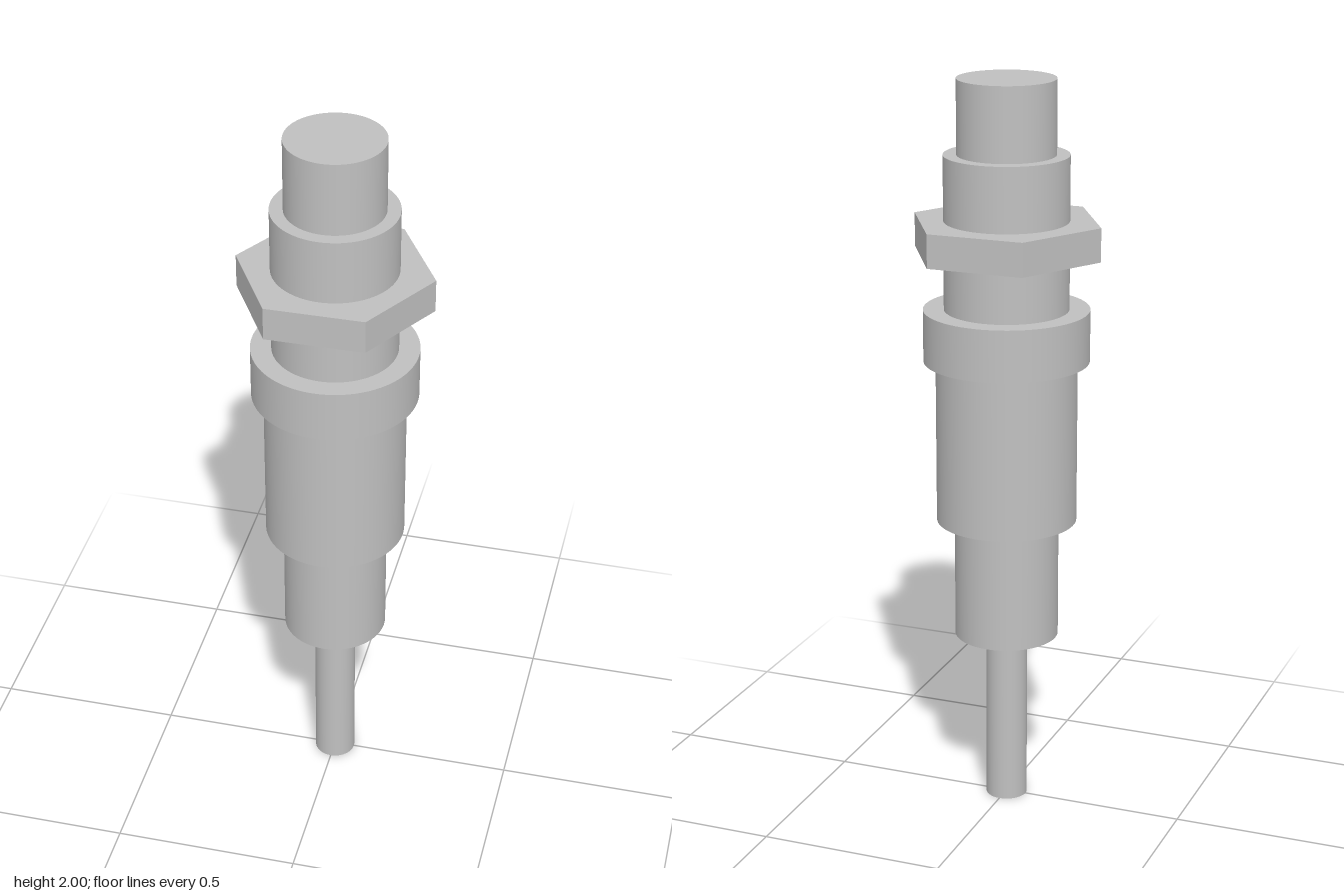
import * as THREE from 'three';

export function createModel() {
  const group = new THREE.Group();
  const metal = new THREE.MeshStandardMaterial({ color: 0xc0c0c0 });
  metal.name = 'grey metal';
  const nutMetal = metal.clone();
  nutMetal.flatShading = true;
  nutMetal.name = 'grey metal, faceted';

  // Upright cylinder between two heights
  function addSection(name, radius, bottom, top, sides = 96, start = 0, material = metal) {
    const geometry = new THREE.CylinderGeometry(radius, radius, top - bottom, sides, 1, false, start);
    const mesh = new THREE.Mesh(geometry, material);
    mesh.name = name;
    mesh.position.y = (bottom + top) / 2;
    group.add(mesh);
  }

  // Stepped body, from the cable up to the sensing tip
  addSection('cable', 0.056, 0, 0.48);
  addSection('cableGland', 0.14, 0.48, 0.81);
  addSection('housing', 0.188, 0.81, 1.253);
  addSection('collar', 0.22, 1.253, 1.393);
  addSection('barrel', 0.165, 1.393, 1.803);
  addSection('sensingTip', 0.13, 1.803, 2);

  // Hexagonal lock nut with corners on the x axis
  addSection('lockNut', 0.26, 1.54, 1.63, 6, Math.PI / 6, nutMetal);

  return group;
}
